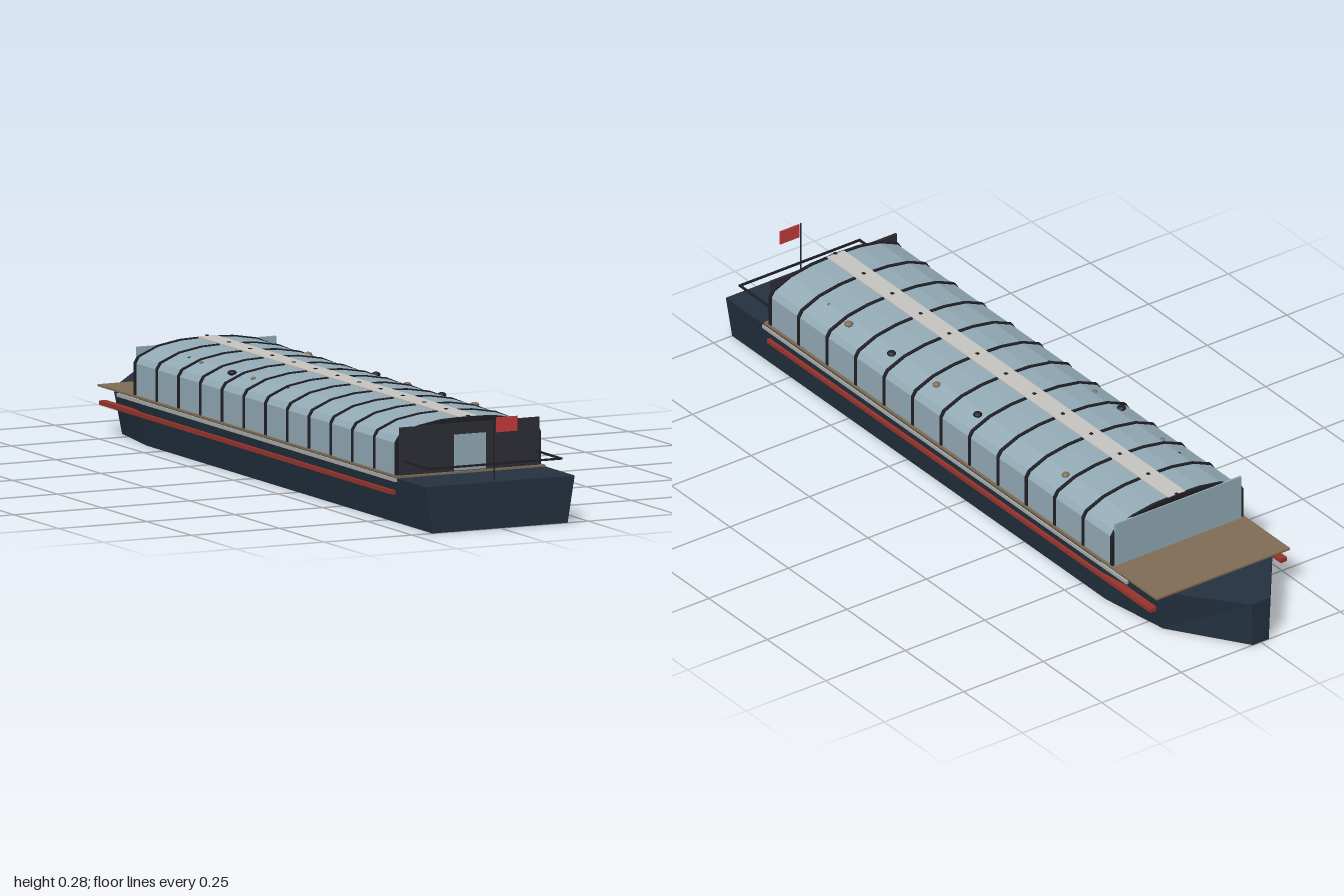
import * as THREE from 'three';

const mat = (name, color) => {
  const m = new THREE.MeshStandardMaterial({ color });
  m.name = name;
  return m;
};

export function createModel() {
  const root = new THREE.Group();
  root.name = 'riverBarge';
  const navy = mat('navy hull', 0x243140);
  const wood = mat('deck wood', 0x806c55);
  const pane = mat('pale blue panel', 0x93abb6);
  const panel = mat('dark panel', 0x2e2d36);
  const black = mat('black metal', 0x1f1f26);
  const cream = mat('ridge grey', 0xc6c5c1);
  const rubRed = mat('rail red', 0x98342d);
  const flagRed = mat('flag red', 0xc63c3e);
  const brass = mat('brass', 0x80705a);
  const steel = mat('steel grey', 0xa9aba8);

  const add = (name, geo, material, x = 0, y = 0, z = 0) => {
    const m = new THREE.Mesh(geo, material);
    m.name = name;
    m.position.set(x, y, z);
    root.add(m);
    return m;
  };
  const box = (name, material, w, h, d, x, y, z) =>
    add(name, new THREE.BoxGeometry(w, h, d), material, x, y, z);

  // Hull: cross-sections [z, half width at top, half width at bottom]
  const H = 0.12;
  const sections = [[1, 0.212, 0.192], [-0.6, 0.212, 0.192], [-0.8, 0.185, 0.16], [-1, 0.028, 0.025]];
  const pos = [], idx = [];
  sections.forEach(([z, t, b]) => pos.push(-b, 0, z, b, 0, z, t, H, z, -t, H, z));
  for (let s = 0; s < sections.length - 1; s++) {
    for (let j = 0; j < 4; j++) {
      const k = (j + 1) % 4, f = s * 4, a = f + 4;
      idx.push(f + j, a + j, a + k, f + j, a + k, f + k);
    }
  }
  const e = (sections.length - 1) * 4;
  idx.push(0, 1, 2, 0, 2, 3, e, e + 2, e + 1, e, e + 3, e + 2);
  let hull = new THREE.BufferGeometry();
  hull.setAttribute('position', new THREE.Float32BufferAttribute(pos, 3));
  hull.setIndex(idx);
  hull = hull.toNonIndexed();
  hull.computeVertexNormals();
  add('hull', hull, navy);

  // Deck, rubbing rails and grab rails
  box('deck', wood, 0.42, 0.005, 1.68, 0, 0.1225, 0);
  for (const s of [-1, 1]) {
    box('rubbingRail', rubRed, 0.02, 0.011, 1.64, s * 0.205, 0.081, 0);
    box('grabRail', steel, 0.006, 0.009, 1.56, s * 0.213, 0.115, 0.06);
  }

  // Cabin with a cambered roof; the frames repeat its profile slightly larger
  const half = [[0.203, 0.124], [0.203, 0.206], [0.193, 0.222], [0.14, 0.245], [0.075, 0.256], [0, 0.259]];
  const arch = (grow, depth) => {
    const right = half.map(([x, y], i) =>
      new THREE.Vector2(x > 0 ? x + grow * (i < 3 ? 1 : 0.3) : 0, i ? y + grow : y));
    const left = right.slice(0, -1).reverse().map(p => new THREE.Vector2(-p.x, p.y));
    return new THREE.ExtrudeGeometry(new THREE.Shape([...right, ...left]), { depth, bevelEnabled: false });
  };
  const front = 0.82, back = -0.64, bays = 12;
  add('cabin', arch(0, front - back), pane, 0, 0, back);
  const frame = arch(0.003, 0.009);
  for (let i = 0; i <= bays; i++) {
    const z = front + (back - front) * i / bays;
    add('roofFrame', frame, black, 0, 0, z - 0.0045);
    box('ridgeBolt', black, 0.008, 0.002, 0.009, 0, 0.2635, z);
  }
  box('ridgeStrip', cream, 0.054, 0.004, front - back, 0, 0.2608, (front + back) / 2);

  // End bulkheads and door
  box('sternBulkhead', panel, 0.396, 0.123, 0.006, 0, 0.186, 0.828);
  box('sternDoor', pane, 0.09, 0.092, 0.004, 0, 0.173, 0.832);
  box('bowBulkhead', pane, 0.396, 0.123, 0.006, 0, 0.186, -0.645);

  // Roof vents: x, z, radius, material
  const vents = [
    [0.15, -0.37, 0.011, brass], [0.155, 0, 0.012, black], [0.152, 0.18, 0.011, brass],
    [0.154, 0.37, 0.012, black], [0.156, 0.55, 0.012, brass], [0.14, 0.655, 0.006, brass],
    [0.138, -0.27, 0.005, black], [-0.157, -0.19, 0.012, black], [-0.143, -0.455, 0.005, black],
    [-0.15, -0.375, 0.006, brass], [-0.15, -0.085, 0.007, brass], [-0.143, 0.1, 0.005, black],
  ];
  for (const [x, z, r, m] of vents) {
    const dome = add('roofVent', new THREE.SphereGeometry(r, 12, 8), m, x, 0.242, z);
    dome.scale.y = 0.6;
  }

  // Stern railing, flagpole and flag
  box('sternRail', black, 0.38, 0.005, 0.005, 0, 0.161, 0.972);
  for (const s of [-1, 1]) box('sideRail', black, 0.005, 0.005, 0.215, s * 0.188, 0.161, 0.867);
  add('flagpole', new THREE.CylinderGeometry(0.002, 0.002, 0.16, 8), black, 0, 0.2, 0.968);
  box('flag', flagRed, 0.06, 0.038, 0.003, 0.035, 0.26, 0.968);

  return root;
}
